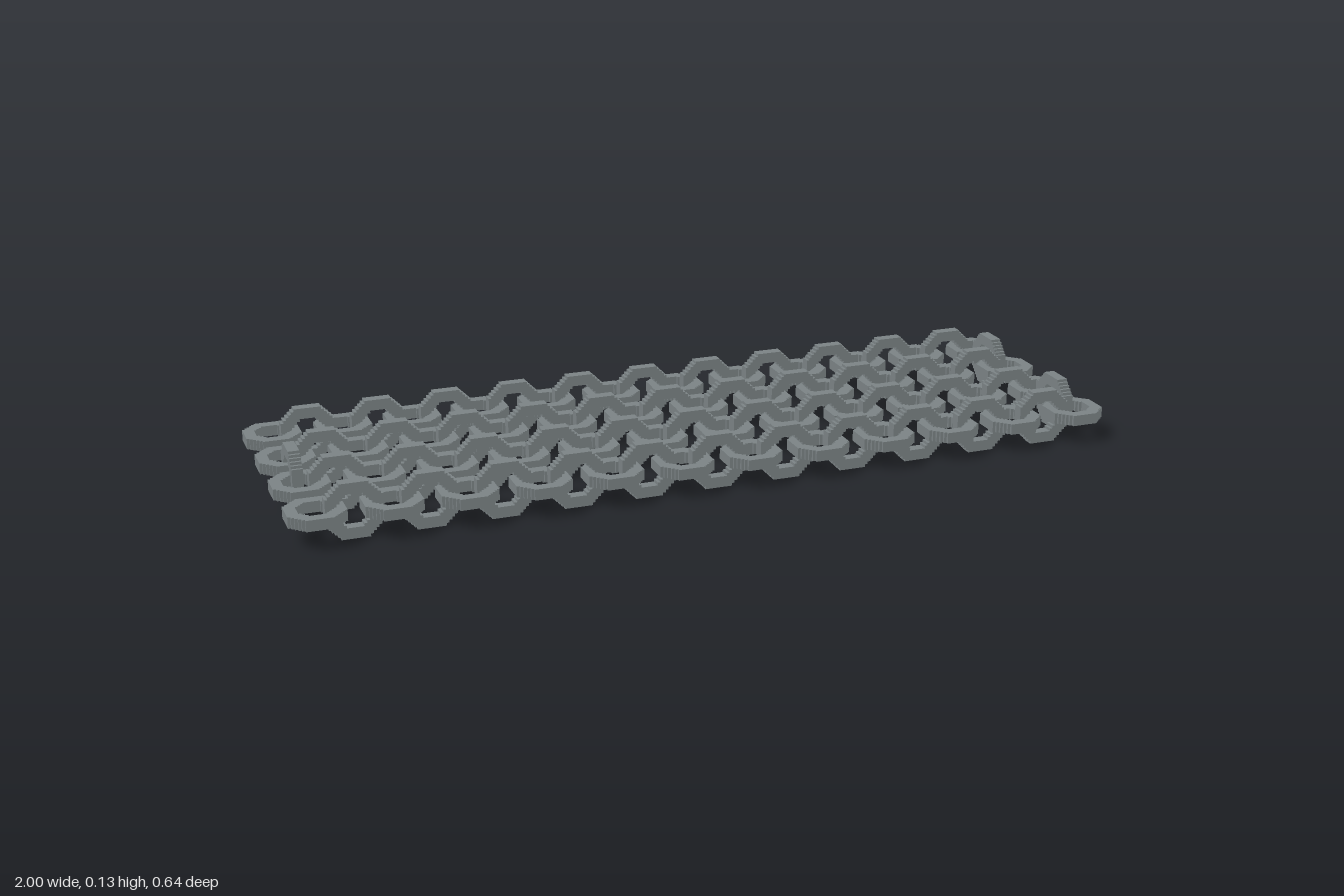
import * as THREE from 'three';

const U = 2 / 306;      // one stair-step
const PITCH = 26 * U;   // distance between flat links
const HALF = 10 * U;    // half the size of a link

// Octagon whose diagonals are stair-stepped: half = half size, flat = half of a straight side
function steppedOctagon(half, flat) {
  const quarter = [];
  for (let k = 0; k < half - flat; k++) {
    quarter.push([half - k, flat + k], [half - k - 1, flat + k]);
  }
  quarter.push([flat, half]);
  const points = [];
  for (let q = 0; q < 4; q++) {
    for (const [x, y] of quarter) {
      const [px, py] = [[x, y], [-y, x], [-x, -y], [y, -x]][q];
      points.push(new THREE.Vector2(px * U, py * U));
    }
  }
  return points;
}

export function createModel() {
  const steel = new THREE.MeshStandardMaterial({ color: 0x7b8385 });
  steel.name = 'steelGrey';

  // One link, lying in the xy plane and centred
  const shape = new THREE.Shape(steppedOctagon(10, 5));
  shape.holes.push(new THREE.Path(steppedOctagon(6, 3)));
  const linkGeometry = new THREE.ExtrudeGeometry(shape, { depth: 4 * U, bevelEnabled: false });
  linkGeometry.translate(0, 0, -2 * U);

  const model = new THREE.Group();
  model.name = 'chain';

  function addLink(parent, name, x, z, rx, ry) {
    const link = new THREE.Mesh(linkGeometry, steel);
    link.name = name;
    link.position.set(x, HALF, z);
    link.rotation.set(rx, ry, 0);
    parent.add(link);
  }

  // Four rows alternating flat and upright links
  for (let r = 0; r < 4; r++) {
    const row = new THREE.Group();
    row.name = `chainRow${r + 1}`;
    const z = (r - 1.5) * PITCH;
    for (let i = 0; i < 12; i++) {
      const x = (i - 5.5) * PITCH;
      addLink(row, 'flatLink', x, z, Math.PI / 2, 0);
      if (i < 11) addLink(row, 'uprightLink', x + PITCH / 2, z, 0, 0);
    }
    model.add(row);
  }

  // Upright links joining the rows at alternating ends
  for (let r = 0; r < 3; r++) {
    const side = r % 2 === 0 ? 1 : -1;
    addLink(model, 'turnLink', side * 5.5 * PITCH, (r - 1) * PITCH, 0, Math.PI / 2);
  }
  return model;
}
